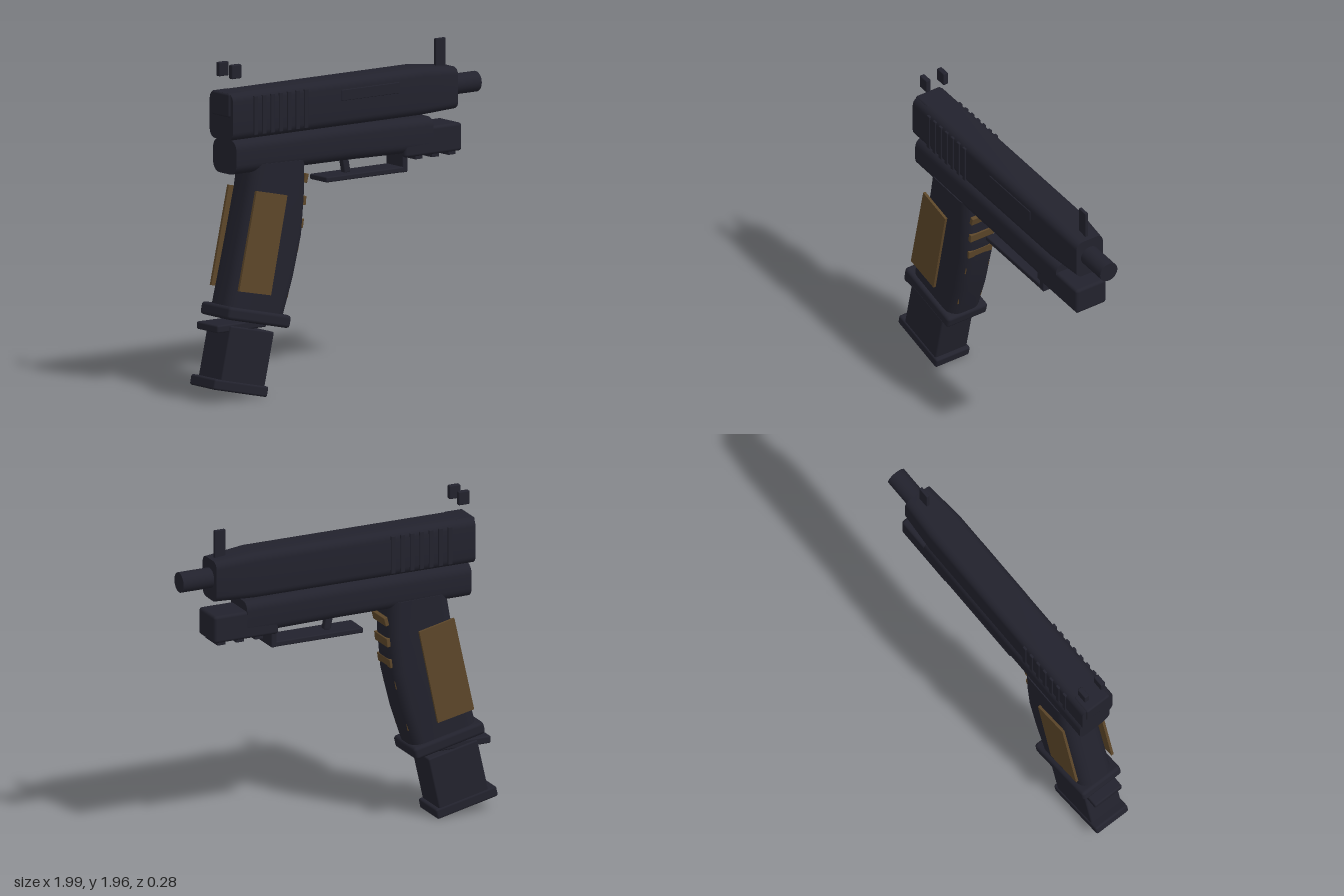
import * as THREE from 'three';
import { toCreasedNormals } from 'three/addons/utils/BufferGeometryUtils.js';
import { RoundedBoxGeometry } from 'three/addons/geometries/RoundedBoxGeometry.js';

const darkSteel = new THREE.MeshStandardMaterial({ name: 'darkSteel', color: 0x22222d });
const bronze = new THREE.MeshStandardMaterial({ name: 'bronze', color: 0x5c4629 });
const TILT = -0.22; // lean of the grip and magazine

// Rounded rectangle loop, counter-clockwise in (u, v)
function roundedLoop(hu, hv, r, steps = 6) {
  const points = [];
  [[1, 1], [-1, 1], [-1, -1], [1, -1]].forEach(([su, sv], corner) => {
    for (let i = 0; i <= steps; i++) {
      const a = (corner + i / steps) * Math.PI / 2;
      points.push([su * (hu - r) + r * Math.cos(a), sv * (hv - r) + r * Math.sin(a)]);
    }
  });
  return points;
}

// Skin over equal loops, closed with a fan at both ends
function loft(rings) {
  const n = rings[0].length, last = rings.length - 1;
  const positions = rings.flat().flatMap((p) => p.toArray());
  const index = [];
  for (let i = 0; i < last; i++) {
    for (let j = 0; j < n; j++) {
      const a = i * n + j, b = i * n + (j + 1) % n;
      index.push(a, b, b + n, a, b + n, a + n);
    }
  }
  for (let j = 1; j < n - 1; j++) {
    index.push(0, j + 1, j);
    index.push(last * n, last * n + j, last * n + j + 1);
  }
  const geometry = new THREE.BufferGeometry();
  geometry.setAttribute('position', new THREE.Float32BufferAttribute(positions, 3));
  geometry.setIndex(index);
  return toCreasedNormals(geometry, 0.6);
}

// Loft along x from [x, bottom, top, halfWidth, radius]
function bodyLoft(sections) {
  return loft(sections.map(([x, y0, y1, hz, r]) =>
    roundedLoop((y1 - y0) / 2, hz, r).map(([u, v]) => new THREE.Vector3(x, (y0 + y1) / 2 + u, v))));
}

// Loft downward from [backX, backY, frontX, frontY]
function gripLoft(sections, hz, r) {
  return loft(sections.map(([bx, by, fx, fy]) => {
    const back = new THREE.Vector3(bx, by, 0), front = new THREE.Vector3(fx, fy, 0);
    const mid = back.clone().add(front).multiplyScalar(0.5);
    const dir = front.clone().sub(back);
    const half = dir.length() / 2;
    dir.normalize();
    return roundedLoop(half, hz, r).map(([u, v]) => {
      const p = mid.clone().addScaledVector(dir, u);
      p.z = v;
      return p;
    });
  }));
}

export function createModel() {
  const model = new THREE.Group();
  model.name = 'pistol';

  function add(name, geometry, material = darkSteel, x = 0, y = 0, z = 0, angle = 0) {
    const mesh = new THREE.Mesh(geometry, material);
    mesh.name = name;
    mesh.position.set(x, y, z);
    mesh.rotation.z = angle;
    model.add(mesh);
    return mesh;
  }
  const box = (w, h, d, r = 0) =>
    r ? new RoundedBoxGeometry(w, h, d, 2, r) : new THREE.BoxGeometry(w, h, d);

  // Slide with tapered nose, and its rear block
  add('slide', bodyLoft([
    [-0.855, 1.522, 1.8, 0.11, 0.05],
    [0.55, 1.522, 1.8, 0.11, 0.05],
    [0.8, 1.53, 1.775, 0.092, 0.045],
  ]));
  add('slideRearBlock', box(0.125, 0.14, 0.17, 0.012), darkSteel, -0.803, 1.73, 0);

  // Slide serrations on both sides
  for (const side of [1, -1]) {
    for (let i = 0; i < 7; i++) {
      add('serration', box(0.028, 0.23, 0.016, 0.004), darkSteel, -0.69 + i * 0.061, 1.66, side * 0.109);
    }
  }
  add('ejectionPort', box(0.42, 0.065, 0.012, 0.004), darkSteel, 0.145, 1.708, 0.109);

  // Barrel
  const barrel = new THREE.CylinderGeometry(0.06, 0.06, 0.25, 32);
  barrel.rotateZ(-Math.PI / 2);
  add('barrel', barrel, darkSteel, 0.872, 1.66, 0);

  // Sights
  add('frontSight', box(0.07, 0.17, 0.02, 0.004), darkSteel, 0.737, 1.857, 0);
  for (const side of [1, -1]) {
    add('rearSight', box(0.07, 0.082, 0.032, 0.006), darkSteel, -0.8, 1.922, side * 0.06);
  }

  // Frame and front rail
  add('frame', bodyLoft([
    [-0.83, 1.32, 1.522, 0.11, 0.06],
    [0.0, 1.315, 1.522, 0.11, 0.06],
    [0.61, 1.305, 1.505, 0.105, 0.05],
  ]));
  add('dustCover', box(0.415, 0.165, 0.21, 0.018), darkSteel, 0.613, 1.37, 0);
  for (const x of [0.523, 0.643, 0.763]) {
    add('railRib', box(0.05, 0.03, 0.16), darkSteel, x, 1.282, 0);
  }

  // Trigger and guard
  add('triggerGuardBar', box(0.59, 0.032, 0.16, 0.008), darkSteel, 0.145, 1.217, 0);
  add('triggerGuardPost', box(0.035, 0.11, 0.16, 0.006), darkSteel, 0.424, 1.255, 0);
  add('trigger', box(0.045, 0.13, 0.04, 0.008), darkSteel, 0.04, 1.295, 0, 0.2);

  // Grip, curved toward the front
  add('grip', gripLoft([
    [-0.69, 1.37, -0.3, 1.36],
    [-0.715, 1.22, -0.305, 1.14],
    [-0.765, 1.0, -0.325, 0.92],
    [-0.82, 0.77, -0.385, 0.68],
    [-0.88, 0.53, -0.465, 0.44],
  ], 0.115, 0.075));
  add('gripFlare', box(0.462, 0.075, 0.28, 0.02), darkSteel, -0.677, 0.476, 0, TILT);

  // Bronze side panels
  const outline = new THREE.Shape([[-0.705, 1.222], [-0.832, 0.648], [-0.6, 0.6], [-0.48, 1.172]]
    .map(([x, y]) => new THREE.Vector2(x, y)));
  for (const side of [1, -1]) {
    const panel = new THREE.ExtrudeGeometry(outline, { depth: 0.016, bevelEnabled: false });
    add('gripPanel', panel, bronze, 0, 0, side * 0.131 - 0.008);
  }

  // Bronze ribs down the front of the grip
  const ribs = [[-0.297, 1.245, -0.25], [-0.311, 1.115, -0.1], [-0.33, 0.985, -0.15],
    [-0.365, 0.85, -0.22], [-0.403, 0.715, -0.25], [-0.44, 0.585, -0.25]];
  for (const [x, y, angle] of ribs) {
    add('gripRib', box(0.024, 0.054, 0.165, 0.004), bronze, x, y, 0, angle);
  }

  // Magazine
  add('magazineCatch', box(0.36, 0.045, 0.2, 0.01), darkSteel, -0.78, 0.432, 0);
  add('magazineBody', box(0.325, 0.34, 0.22, 0.01), darkSteel, -0.747, 0.245, 0, TILT);
  add('magazineBase', box(0.4, 0.062, 0.235, 0.012), darkSteel, -0.798, 0.074, 0, TILT);

  return model;
}
